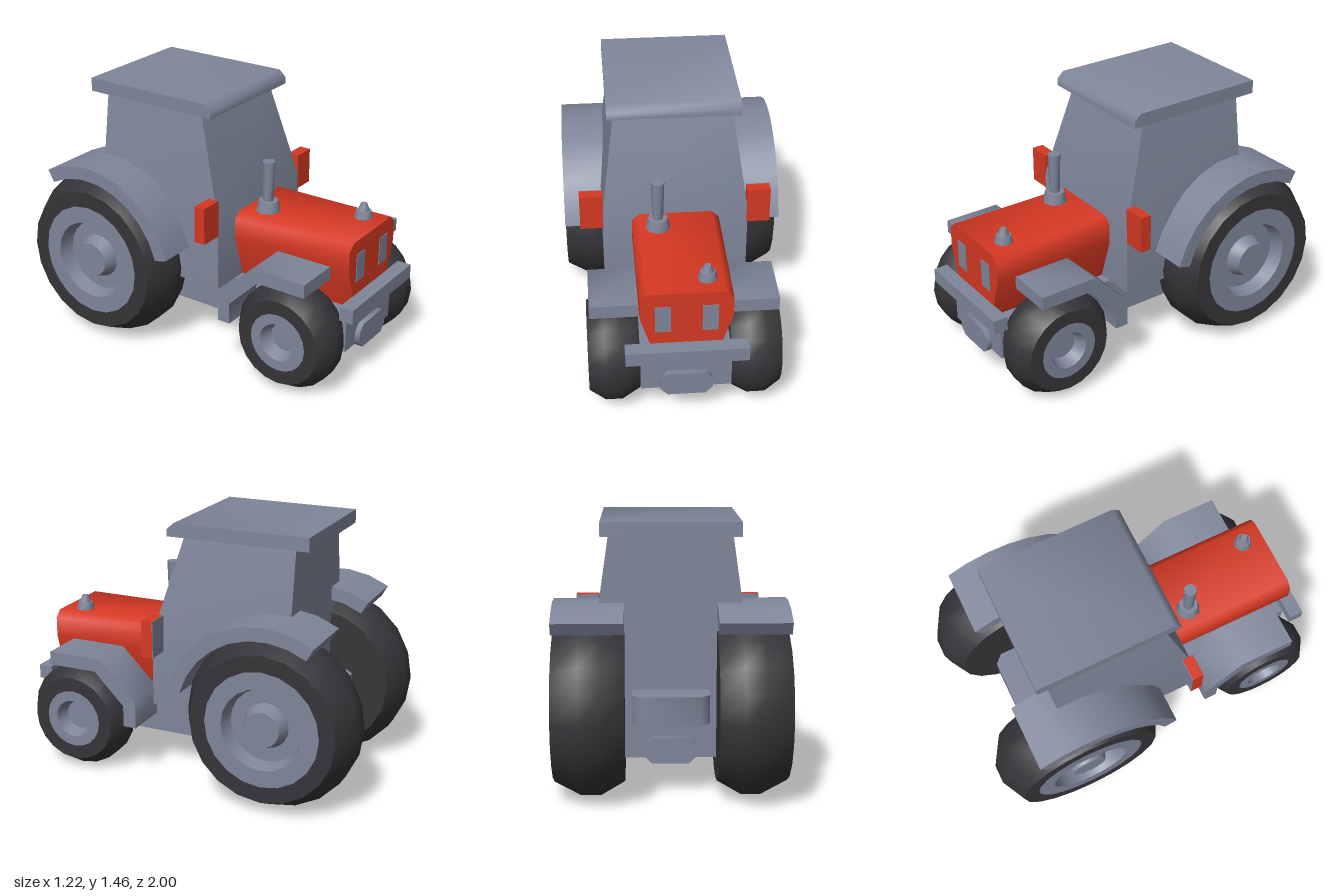
import * as THREE from 'three';
import { toCreasedNormals } from 'three/addons/utils/BufferGeometryUtils.js';

const material = (name, color) => {
  const m = new THREE.MeshStandardMaterial({ color });
  m.name = name;
  return m;
};

export function createModel() {
  const model = new THREE.Group();
  model.name = 'tractor';
  const grey = material('blueGrey', 0x7f869a);
  const red = material('red', 0xd63822);
  const dark = material('tyreBlack', 0x353438);

  const add = (name, geometry, mat, parent = model) => {
    const mesh = new THREE.Mesh(toCreasedNormals(geometry, 0.9), mat);
    mesh.name = name;
    parent.add(mesh);
    return mesh;
  };
  // Box given by its lower and upper limits
  const box = (x0, x1, y0, y1, z0, z1) =>
    new THREE.BoxGeometry(x1 - x0, y1 - y0, z1 - z0)
      .translate((x0 + x1) / 2, (y0 + y1) / 2, (z0 + z1) / 2);
  const extrude = (points, depth) => new THREE.ExtrudeGeometry(
    new THREE.Shape(points.map(([a, b]) => new THREE.Vector2(a, b))),
    { depth, bevelEnabled: false });
  // Front outline (x, y) pulled along z
  const frontProfile = (points, z0, z1) => extrude(points, z1 - z0).translate(0, 0, z0);
  // Side outline (z, y) pulled along x
  const sideProfile = (points, x0, x1) =>
    extrude(points, x1 - x0).rotateY(-Math.PI / 2).translate(x1, 0, 0);

  // Chassis, bumper and tow plates
  add('chassis', box(-0.24, 0.24, 0.2, 0.43, -0.585, 0.92), grey);
  add('frontBumper', box(-0.32, 0.32, 0.43, 0.51, 0.92, 1), grey);
  const plate = [[-0.1, 0.175], [0.1, 0.175], [0.138, 0.215], [0.138, 0.275],
    [0.1, 0.315], [-0.1, 0.315], [-0.138, 0.275], [-0.138, 0.215]];
  add('frontTowPlate', frontProfile(plate, 0.9, 0.95), grey);
  add('rearTowPlate', frontProfile(plate, -0.61, -0.56), grey);
  add('rearHitchBlock', extrude([[-0.2, 0.56], [0.2, 0.56], [0.2, 0.705],
    [0.155, 0.75], [-0.155, 0.75], [-0.2, 0.705]], 0.15)
    .rotateX(-Math.PI / 2).translate(0, 0.42, 0), grey);

  // Bonnet and headlights
  add('bonnet', frontProfile([[-0.165, 0.43], [0.165, 0.43], [0.24, 0.675], [0.24, 0.785],
    [0.2, 0.825], [-0.2, 0.825], [-0.24, 0.785], [-0.24, 0.675]], 0.2, 0.922), red);
  for (const s of [-1, 1]) {
    add('headlight', box(s * 0.122 - 0.041, s * 0.122 + 0.041, 0.585, 0.745, 0.92, 0.926), grey);
  }

  // Exhaust and filler cap
  const cone = (rTop, rBottom, y0, y1, x, z) =>
    new THREE.CylinderGeometry(rTop, rBottom, y1 - y0, 8).translate(x, (y0 + y1) / 2, z);
  add('exhaustBase', cone(0.055, 0.068, 0.825, 0.885, -0.105, 0.335), grey);
  add('exhaustPipe', cone(0.036, 0.029, 0.885, 1.11, -0.105, 0.335), grey);
  add('fillerBase', cone(0.042, 0.052, 0.825, 0.865, 0.115, 0.8), grey);
  add('fillerCap', cone(0.018, 0.033, 0.865, 0.905, 0.115, 0.8), grey);

  // Cab: straight below the kink, leaning inwards above it
  const cab = new THREE.BoxGeometry(2, 2, 2, 1, 2, 1);
  const levels = [[0.43, 0.4, 0.21], [0.83, 0.4, 0.21], [1.38, 0.32, 0.05]];
  const p = cab.attributes.position;
  for (let i = 0; i < p.count; i++) {
    const [y, halfWidth, zFront] = levels[Math.round(p.getY(i)) + 1];
    p.setXYZ(i, p.getX(i) * halfWidth, y, p.getZ(i) > 0 ? zFront : -0.585);
  }
  add('cab', cab, grey);
  add('roof', sideProfile([[-0.67, 1.38], [0.135, 1.38], [0.135, 1.418],
    [0.095, 1.455], [-0.67, 1.455]], -0.36, 0.36), grey);

  // Wheels: outline as (radius, x), turned around the axle
  const wheel = (name, s, y, z, sides, tyre, rim) => {
    const group = new THREE.Group();
    group.name = name;
    group.position.set(0, y, z);
    group.rotation.y = s > 0 ? 0 : Math.PI;
    const turn = (pts) => new THREE.LatheGeometry(
      pts.map(([r, x]) => new THREE.Vector2(r, x)), sides).rotateZ(-Math.PI / 2);
    add('tyre', turn(tyre), dark, group);
    add('rim', turn(rim), grey, group);
    model.add(group);
  };

  // Rear mudguard: thick arc around the wheel
  const arc = (r, from, to, n) => Array.from({ length: n + 1 }, (_, i) => {
    const a = THREE.MathUtils.degToRad(from + (to - from) * i / n);
    return [-0.52 + r * Math.cos(a), 0.48 + r * Math.sin(a)];
  });
  const rearGuard = [...arc(0.557, 15.5, 120, 8), ...arc(0.482, 120, 15.5, 8)];
  const frontGuard = [[0.81, 0.6], [0.81, 0.675], [0.49, 0.675], [0.275, 0.46],
    [0.275, 0.305], [0.35, 0.305], [0.35, 0.425], [0.525, 0.6]];

  for (const s of [-1, 1]) {
    wheel('rearWheel', s, 0.48, -0.52, 20,
      [[0, 0.24], [0.408, 0.24], [0.48, 0.365], [0.48, 0.47], [0.408, 0.61], [0.32, 0.61]],
      [[0.32, 0.61], [0.225, 0.61], [0.203, 0.53], [0.125, 0.53], [0.097, 0.6], [0, 0.6]]);
    wheel('frontWheel', s, 0.3, 0.665, 20,
      [[0, 0.24], [0.242, 0.24], [0.297, 0.335], [0.297, 0.425], [0.242, 0.51], [0.165, 0.51]],
      [[0.165, 0.51], [0.107, 0.51], [0.08, 0.44], [0, 0.44]]);

    const span = (a, b) => (s > 0 ? [a, b] : [-b, -a]);
    add('rearMudguard', sideProfile(rearGuard, ...span(0.24, 0.61)), grey);
    add('frontMudguard', sideProfile(frontGuard, ...span(0.235, 0.495)), grey);

    // Side mirrors with a grey glass facing backwards
    add('mirrorHousing', box(...span(0.395, 0.523), 0.745, 0.95, 0.147, 0.21), red);
    add('mirrorGlass', box(...span(0.395, 0.523), 0.745, 0.95, 0.143, 0.147), grey);
  }
  return model;
}
